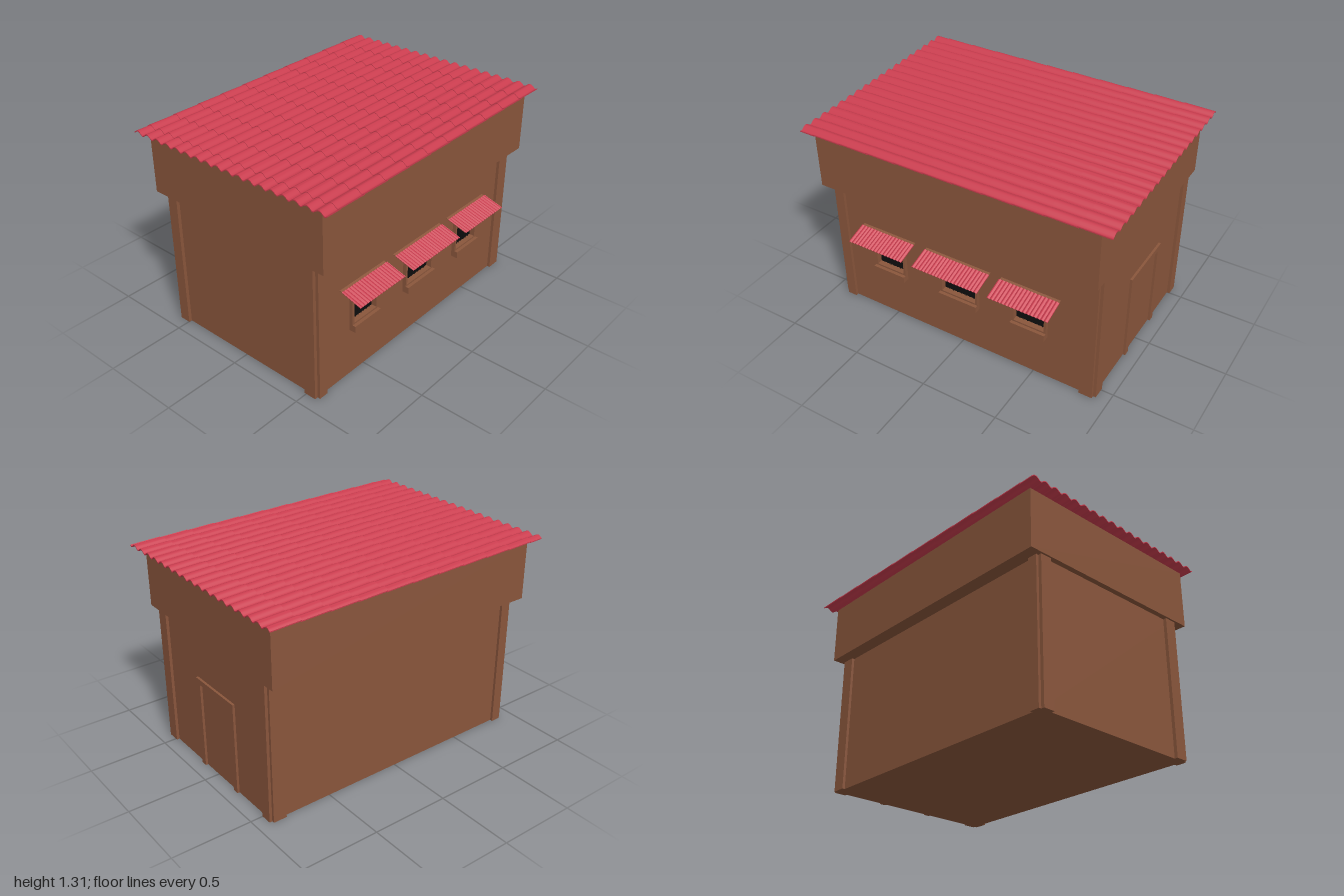
import * as THREE from 'three';
import { toCreasedNormals } from 'three/addons/utils/BufferGeometryUtils.js';

const wallMat = new THREE.MeshStandardMaterial({ name: 'brown plaster', color: 0x8a563c });
const tileMat = new THREE.MeshStandardMaterial({ name: 'red clay tile', color: 0xc93c4e });
const paneMat = new THREE.MeshStandardMaterial({ name: 'dark window', color: 0x0e0e0e });

// Box given by its minimum and maximum corners
function block(name, mat, [x0, y0, z0], [x1, y1, z1]) {
  const mesh = new THREE.Mesh(new THREE.BoxGeometry(x1 - x0, y1 - y0, z1 - z0), mat);
  mesh.position.set((x0 + x1) / 2, (y0 + y1) / 2, (z0 + z1) / 2);
  mesh.name = name;
  return mesh;
}

function rectPoints(z0, z1, y0, y1) {
  return [[-z1, y0], [-z0, y0], [-z0, y1], [-z1, y1]].map(([x, y]) => new THREE.Vector2(x, y));
}

// Slab facing +x, with rectangular holes; rectangles are [z0, z1, y0, y1]
function holedSlab(name, rect, holes, x0, x1) {
  const shape = new THREE.Shape(rectPoints(...rect));
  shape.holes = holes.map((h) => new THREE.Path(rectPoints(...h).reverse()));
  const geo = new THREE.ExtrudeGeometry(shape, { depth: x1 - x0, bevelEnabled: false });
  geo.rotateY(Math.PI / 2);
  geo.translate(x0, 0, 0);
  const mesh = new THREE.Mesh(geo, wallMat);
  mesh.name = name;
  return mesh;
}

// Wavy sheet of barrel tiles: broad arches and narrow troughs, running along z
function tileSheet(cols, width, height, thick, length, steps) {
  const pitch = width / cols;
  const top = [];
  for (let i = 0; i <= cols * steps; i++) {
    const t = (i % steps) / steps;
    const arch = t < 0.7 ? Math.sin((t / 0.7) * Math.PI) * 0.7 + 0.3
      : 0.3 - 0.3 * Math.sin(((t - 0.7) / 0.3) * Math.PI);
    top.push(new THREE.Vector2((i / steps) * pitch - width / 2, arch * (height - thick) + thick));
  }
  const bottom = top.map((p) => new THREE.Vector2(p.x, p.y - thick)).reverse();
  const shape = new THREE.Shape([...bottom, ...top]);
  const geo = new THREE.ExtrudeGeometry(shape, { depth: length, bevelEnabled: false });
  return toCreasedNormals(geo, 0.7);
}

export function createModel() {
  const model = new THREE.Group();
  model.name = 'tiledHouse';

  // Windows: z range of the frame and of the awning above it
  const windows = [
    { frame: [0.40, 0.625], awning: [0.32, 0.71], cols: 17 },
    { frame: [-0.125, 0.14], awning: [-0.21, 0.245], cols: 20 },
    { frame: [-0.59, -0.36], awning: [-0.67, -0.275], cols: 17 },
  ];
  const opening = ([z0, z1]) => [z0 + 0.014, z1 - 0.014, 0.37, 0.57];

  // Walls
  model.add(block('walls', wallMat, [-0.57, 0, -0.902], [0.55, 0.89, 0.897]));
  model.add(holedSlab('windowWall', [-0.902, 0.897, 0, 0.89],
    windows.map((w) => opening(w.frame)), 0.55, 0.568));

  // Upper band that overhangs the walls
  model.add(block('upperBand', wallMat, [-0.655, 0.89, -0.925], [0.655, 1.265, 0.93]));

  // Corner pilasters, one strip on each face beside each corner
  for (const s of [-1, 1]) {
    const xs = s < 0 ? [-0.57, -0.497] : [0.487, 0.568];
    model.add(block('frontPilaster', wallMat, [xs[0], 0, 0.89], [xs[1], 0.89, 0.918]));
    model.add(block('backPilaster', wallMat, [xs[0], 0, -0.92], [xs[1], 0.89, -0.89]));
    const [x0, x1] = s < 0 ? [-0.587, -0.56] : [0.56, 0.587];
    model.add(block('sidePilasterFront', wallMat, [x0, 0, 0.834], [x1, 0.89, 0.897]));
    model.add(block('sidePilasterBack', wallMat, [x0, 0, -0.902], [x1, 0.89, -0.815]));
  }

  // Windows with frame, sill, pane, bars and tiled awning
  for (const { frame, awning, cols } of windows) {
    const [z0, z1] = frame;
    const win = new THREE.Group();
    win.name = 'window';
    const hole = opening(frame);
    win.add(holedSlab('windowFrame', [z0, z1, 0.36, 0.58], [hole], 0.56, 0.592));
    win.add(block('windowSill', wallMat, [0.56, 0.317, z0], [0.613, 0.36, z1]));
    win.add(block('windowPane', paneMat, [0.549, 0.37, hole[0]], [0.556, 0.57, hole[1]]));
    for (let i = 1; i < 8; i++) {
      const z = hole[0] + ((hole[1] - hole[0]) * i) / 8;
      win.add(block('windowBar', paneMat, [0.556, 0.37, z - 0.002], [0.56, 0.57, z + 0.002]));
    }

    const shade = new THREE.Group();
    shade.name = 'awning';
    const width = awning[1] - awning[0];
    const tiles = new THREE.Mesh(tileSheet(cols, width, 0.009, 0.003, 0.14, 8), tileMat);
    tiles.name = 'awningTiles';
    tiles.rotation.y = Math.PI / 2;
    shade.add(tiles);
    shade.add(block('awningBoard', wallMat, [-0.02, -0.004, -width / 2 + 0.004], [0.13, 0, width / 2 - 0.004]));
    shade.position.set(0.586, 0.628, (awning[0] + awning[1]) / 2);
    shade.rotation.z = -0.29;
    win.add(shade);
    model.add(win);
  }

  // Back door frame
  model.add(block('doorJamb', wallMat, [-0.23, 0, -0.917], [-0.19, 0.6, -0.89]));
  model.add(block('doorJamb', wallMat, [0.13, 0, -0.917], [0.17, 0.6, -0.89]));
  model.add(block('doorHead', wallMat, [-0.19, 0.565, -0.917], [0.13, 0.6, -0.89]));

  // Roof: overlapping rows of barrel tiles, laid slightly askew
  const roof = new THREE.Group();
  roof.name = 'tiledRoof';
  const rows = 11, pitch = 0.1875, first = -0.9875;
  const rowGeo = tileSheet(18, 1.43, 0.027, 0.006, 0.195, 10);
  const lastGeo = tileSheet(18, 1.43, 0.027, 0.006, 0.1, 10);
  for (let i = 0; i < rows; i++) {
    const row = new THREE.Mesh(i === rows - 1 ? lastGeo : rowGeo, tileMat);
    row.name = 'roofTileRow';
    row.position.set(0, 0, first + i * pitch);
    row.rotation.x = -0.02;
    roof.add(row);
  }
  roof.position.set(-0.005, 1.273, -0.002);
  roof.rotation.set(-0.002, 0.0145, 0.005);
  model.add(roof);

  return model;
}
